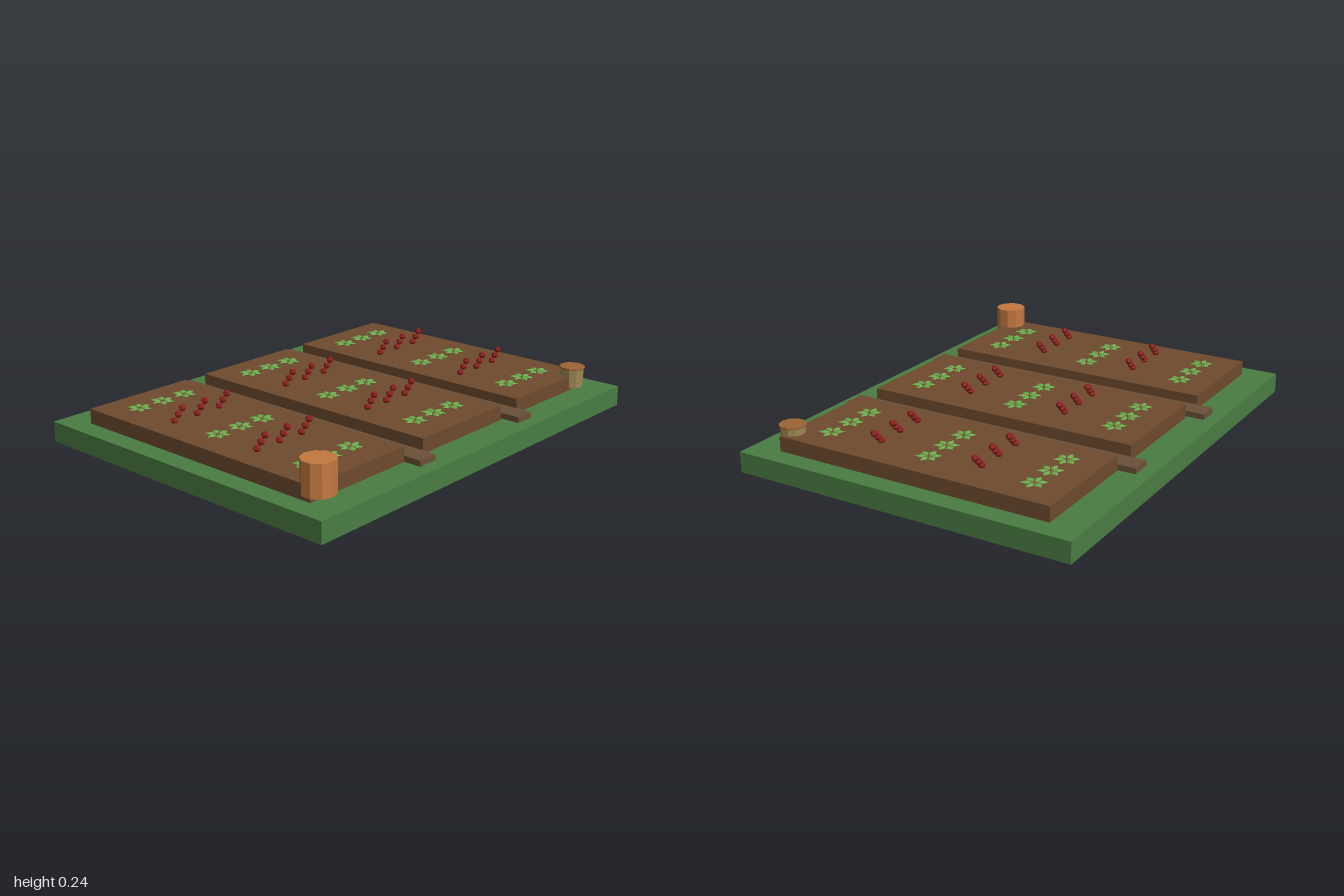
import * as THREE from 'three';

const mat = (color) => new THREE.MeshStandardMaterial({ color, flatShading: true });
const grass = mat(0x4a7c42), soil = mat(0x6e4a2e), path = mat(0x6b5038);
const clay = mat(0xc47840), lidWood = mat(0x9a6535), tan = mat(0xa08a55);
const red = mat(0x8b1c1a), green = mat(0x6aa84a);

function add(parent, name, geometry, material, x, y, z) {
  const mesh = new THREE.Mesh(geometry, material);
  mesh.name = name;
  mesh.position.set(x, y, z);
  parent.add(mesh);
  return mesh;
}

// Box spanning y0..y1, centred on z = 0
function slab(parent, name, material, x, width, y0, y1, depth) {
  return add(parent, name, new THREE.BoxGeometry(width, y1 - y0, depth), material, x, (y0 + y1) / 2, 0);
}

const leafGeo = new THREE.OctahedronGeometry(1, 0).scale(0.025, 0.007, 0.015);
const berryGeo = new THREE.SphereGeometry(0.0155, 6, 4);

// Low rosette of six ridged leaves
function leafyPlant() {
  const plant = new THREE.Group();
  plant.name = 'leafyPlant';
  for (let i = 0; i < 6; i++) {
    const a = (i * Math.PI) / 3;
    const leaf = add(plant, 'leaf', leafGeo, green, 0.03 * Math.cos(a), 0.003, -0.03 * Math.sin(a));
    leaf.rotation.y = a;
  }
  return plant;
}

// Three red fruits in a leaning stack
function redPlant() {
  const plant = new THREE.Group();
  plant.name = 'redPlant';
  for (let i = -1; i <= 1; i++) {
    add(plant, 'fruit', berryGeo, red, i * 0.022, 0.031 + i * 0.022, 0);
  }
  return plant;
}

export function createModel() {
  const model = new THREE.Group();
  model.name = 'vegetableGarden';

  slab(model, 'grassBase', grass, 0, 2, 0, 0.09, 1.535);

  // Sunken paths between the beds
  for (const s of [-1, 1]) slab(model, 'path', path, s * 0.33, 0.094, 0.09, 0.115, 1.415);

  // Three raised beds with alternating planted rows
  const rows = [-0.48, -0.235, -0.003, 0.24, 0.475];
  for (const x of [-0.645, 0, 0.645]) {
    const bed = new THREE.Group();
    bed.name = 'bed';
    bed.position.x = x;
    slab(bed, 'soil', soil, 0, 0.53, 0.09, 0.155, 1.26);
    rows.forEach((z, r) => {
      for (const dx of [-0.123, 0, 0.123]) {
        const plant = r % 2 ? redPlant() : leafyPlant();
        plant.position.set(dx, 0.155, z);
        bed.add(plant);
      }
    });
    model.add(bed);
  }

  // Tall clay barrel at the front right corner
  add(model, 'barrel', new THREE.CylinderGeometry(0.07, 0.07, 0.137, 10), clay, -0.85, 0.1765, 0.615);

  // Small lidded bucket at the front left corner
  const bucket = new THREE.Group();
  bucket.name = 'bucket';
  bucket.position.set(0.845, 0, 0.613);
  add(bucket, 'bucketBody', new THREE.CylinderGeometry(0.053, 0.05, 0.085, 10), tan, 0, 0.1425, 0);
  add(bucket, 'bucketLid', new THREE.CylinderGeometry(0.058, 0.058, 0.008, 10), lidWood, 0, 0.188, 0);
  model.add(bucket);

  return model;
}
